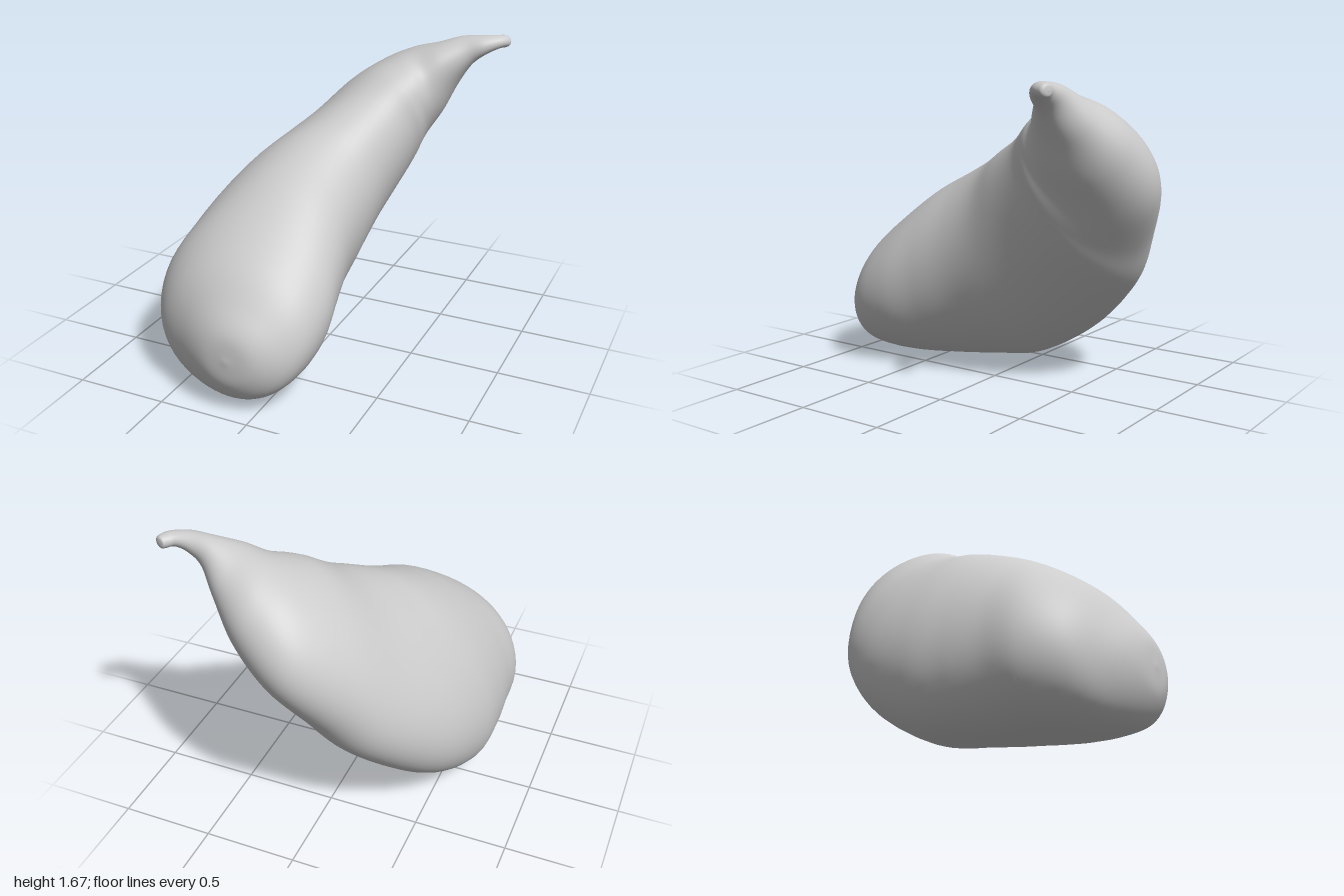
import * as THREE from 'three';
import { mergeVertices } from 'three/addons/utils/BufferGeometryUtils.js';

// Upright sections of the fat end: z, centre x, centre y, half width, skew, half height
const lobe = [
  [1.0, -0.11, 0.33, 0, 0, 0],
  [0.98, -0.11, 0.33, 0.15, 0, 0.142],
  [0.9, -0.13, 0.335, 0.295, 0, 0.265],
  [0.78, -0.18, 0.383, 0.425, 0.02, 0.363],
  [0.6, -0.22, 0.45, 0.493, 0.05, 0.443],
  [0.4, -0.243, 0.522, 0.49, 0.11, 0.5],
  [0.2, -0.263, 0.58, 0.485, 0.17, 0.53],
];

// Tilted sections of the neck and stem: centre, sideways half axis, upward half axis
const neck = [
  [[-0.26, 0.64, -0.01], [0.485, 0.22, 0.03], [0, 0.533, 0.04]],
  [[-0.2, 0.775, -0.25], [0.46, 0.25, 0.1], [-0.02, 0.452, 0.11]],
  [[-0.08, 0.965, -0.48], [0.39, 0.24, 0.16], [-0.08, 0.33, 0.16]],
  [[0.04, 1.125, -0.605], [0.305, 0.17, 0.225], [-0.085, 0.3, 0.11]],
  [[0.17, 1.267, -0.695], [0.188, 0.09, 0.285], [-0.085, 0.243, 0.07]],
  [[0.3, 1.385, -0.71], [0.085, 0.025, 0.24], [-0.08, 0.185, 0.045]],
  [[0.42, 1.495, -0.685], [0.025, 0.01, 0.16], [-0.058, 0.118, 0.02]],
  [[0.525, 1.578, -0.685], [0.02, 0, 0.085], [-0.032, 0.077, 0]],
  [[0.615, 1.615, -0.695], [0.025, 0, 0.057], [-0.01, 0.053, 0]],
  [[0.685, 1.633, -0.73], [0.035, 0, 0.03], [0, 0.037, 0]],
  [[0.715, 1.632, -0.77], [0.034, 0, 0.015], [0, 0.034, 0]],
  [[0.72, 1.632, -0.788], [0.025, 0, 0.01], [0, 0.026, 0]],
  [[0.721, 1.632, -0.793], [0, 0, 0], [0, 0, 0]],
];

// Per section from the fat end on: fullness of the lower right corner, and shift from upper right to lower left
const corner = [0, 0, 0.02, 0.05, 0.08, 0.07, 0.05, 0.02];
const shift = [0, 0, 0, 0, 0.01, 0.02, 0.03, 0.04, 0.045, 0.04, 0.02];

const ALONG = 152, AROUND = 56;
const swell = (angle, degrees) => Math.max(0, Math.cos(angle - degrees * Math.PI / 180)) ** 4;

// Skin smoothly interpolated sections
function buildSkin() {
  const sections = [
    ...lobe.map(([z, x, y, w, skew, h]) => [[x, y, z], [w, skew, 0], [0, h, 0]]),
    ...neck,
  ].map((s, i) => [...s, [corner[i] ?? 0, shift[i] ?? 0, 0]]);
  const [centre, side, up, shape] = [0, 1, 2, 3].map((i) => new THREE.CatmullRomCurve3(
    sections.map((s) => new THREE.Vector3(...s[i])), false, 'catmullrom', 0.5));

  const positions = [], index = [];
  for (let i = 0; i <= ALONG; i++) {
    const t = i / ALONG;
    const c = centre.getPoint(t), u = side.getPoint(t), v = up.getPoint(t), k = shape.getPoint(t);
    for (let j = 0; j < AROUND; j++) {
      const a = (j / AROUND) * Math.PI * 2;
      const r = 1 + k.x * swell(a, 225) + k.y * (swell(a, 315) - swell(a, 135));
      const p = c.clone().addScaledVector(u, r * Math.cos(a)).addScaledVector(v, r * Math.sin(a));
      positions.push(p.x, Math.max(p.y, 0), p.z);
      if (i < ALONG) {
        const n = (j + 1) % AROUND, row = i * AROUND, next = row + AROUND;
        index.push(row + j, next + j, row + n, next + j, next + n, row + n);
      }
    }
  }
  let geometry = new THREE.BufferGeometry();
  geometry.setAttribute('position', new THREE.Float32BufferAttribute(positions, 3));
  geometry.setIndex(index);
  geometry = mergeVertices(geometry, 1e-5);
  geometry.computeVertexNormals();
  return geometry;
}

export function createModel() {
  const group = new THREE.Group();
  group.name = 'curvedFruit';
  const skin = new THREE.Mesh(buildSkin(), new THREE.MeshStandardMaterial({ color: 0xcccccc }));
  skin.name = 'fruitBodyWithStem';
  group.add(skin);
  return group;
}
